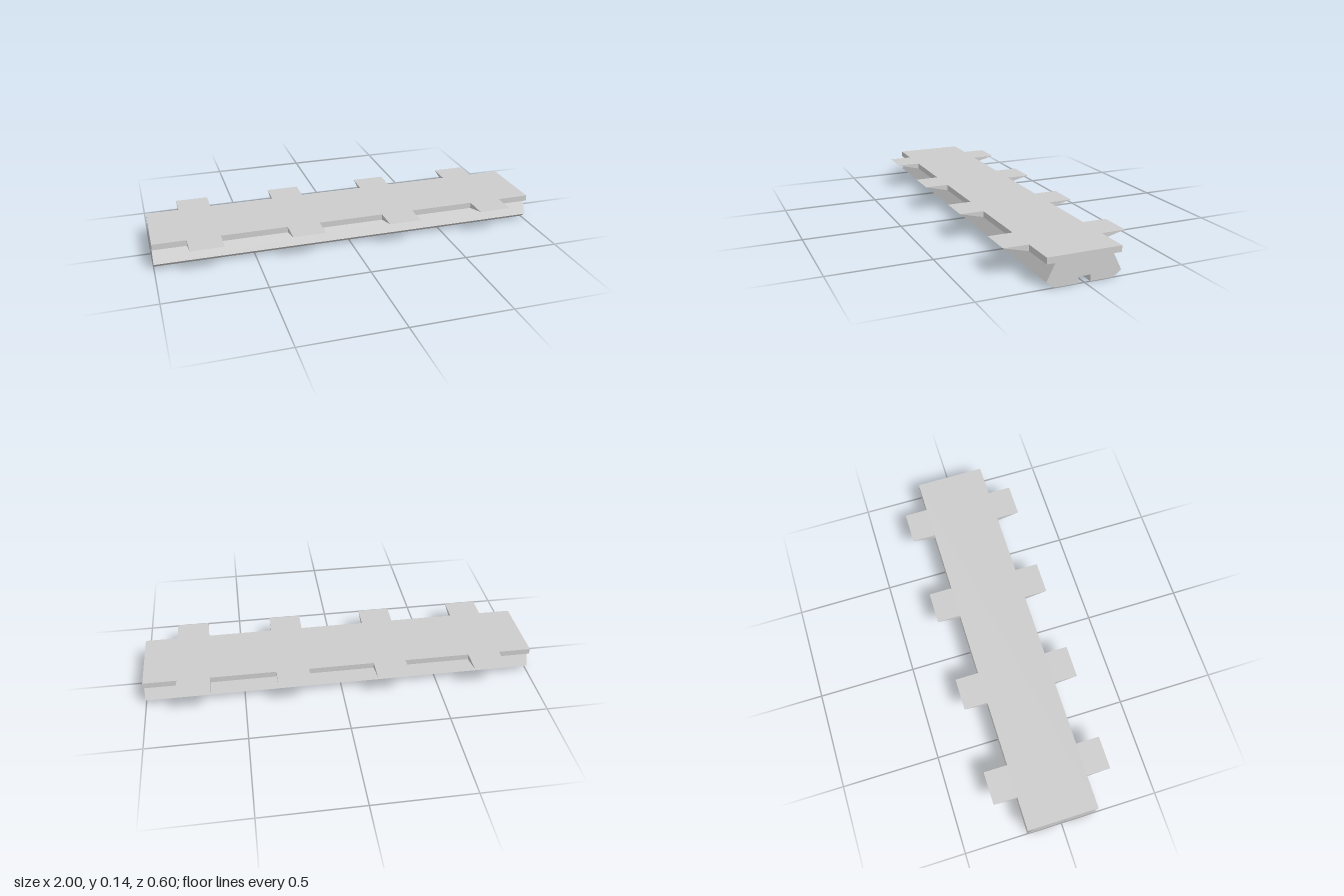
import * as THREE from 'three';

const material = new THREE.MeshStandardMaterial({ color: 0xcccccc, flatShading: true });

// Extrudes a (z, y) cross-section along x, centred on the given x
function extrudeAlongX(points, length, centreX = 0) {
  const shape = new THREE.Shape(points.map(([z, y]) => new THREE.Vector2(-z, y)));
  const geometry = new THREE.ExtrudeGeometry(shape, { depth: length, bevelEnabled: false });
  geometry.translate(0, 0, -length / 2);
  geometry.rotateY(Math.PI / 2);
  geometry.translate(centreX, 0, 0);
  return geometry;
}

function addPart(group, name, geometry) {
  const mesh = new THREE.Mesh(geometry, material);
  mesh.name = name;
  group.add(mesh);
}

export function createModel() {
  const model = new THREE.Group();
  model.name = 'slottedRail';

  // Rail body: dovetail section with a groove underneath and a flat top plate
  const half = [
    [0.029, 0.031], [0.029, 0], [0.141, 0], [0.181, 0.03],
    [0.141, 0.11], [0.181, 0.11], [0.181, 0.14],
  ];
  const mirrored = half.map(([z, y]) => [-z, y]).reverse();
  addPart(model, 'railBody', extrudeAlongX([...half, ...mirrored], 2));

  // Wedge tabs along both long edges
  for (const side of [1, -1]) {
    const wedge = [[0.181, 0.11], [0.302, 0.14], [0.181, 0.14]].map(([z, y]) => [z * side, y]);
    for (const x of [-0.75, -0.25, 0.25, 0.75]) {
      addPart(model, side > 0 ? 'frontTab' : 'backTab', extrudeAlongX(wedge, 0.166, x));
    }
  }
  return model;
}
